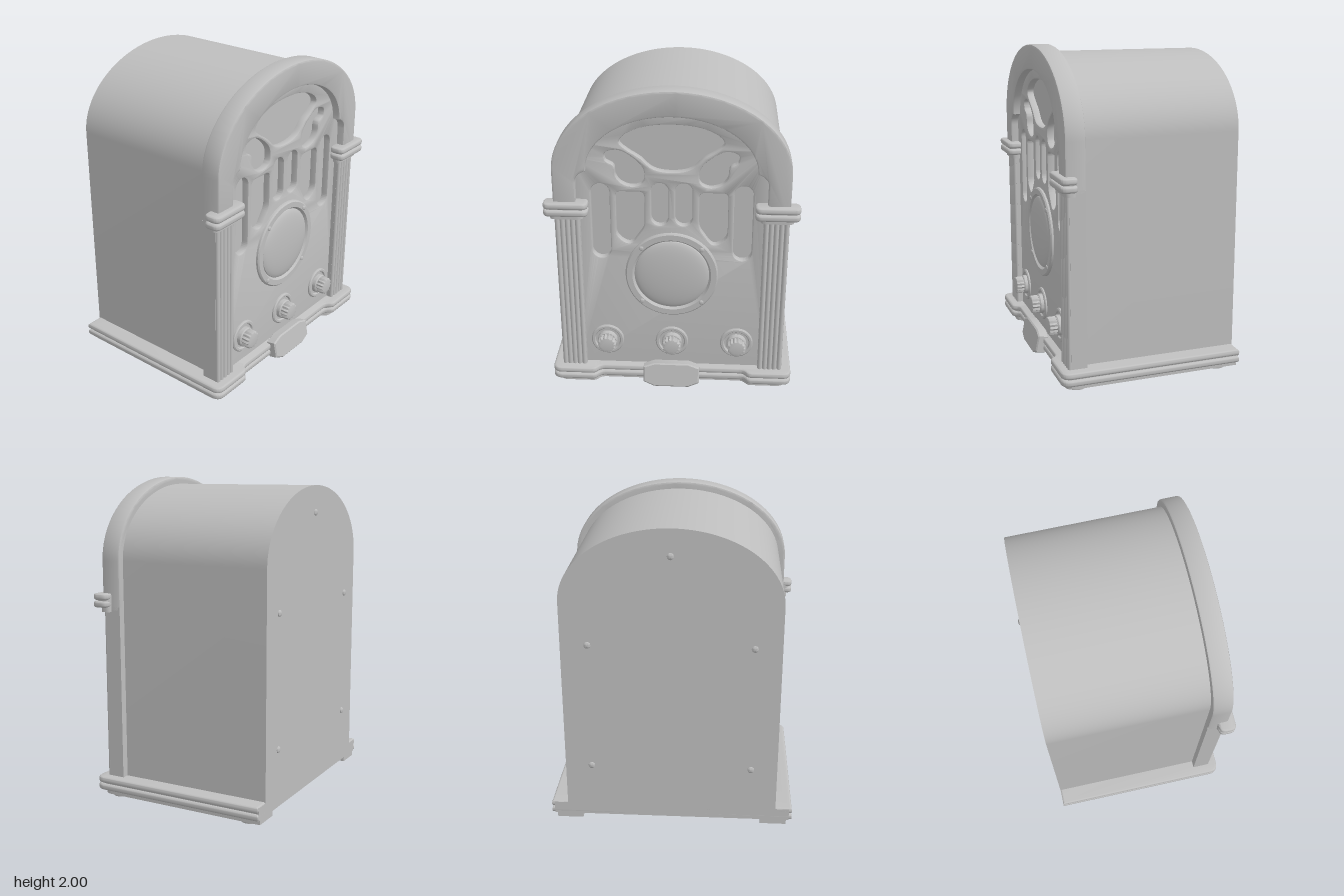
import * as THREE from 'three';
import { toCreasedNormals } from 'three/addons/utils/BufferGeometryUtils.js';

const V2 = (x, y) => new THREE.Vector2(x, y);

// Extrude a shape from z0 to z1, bevels kept inside the outline
function extrude(shape, z0, z1, b = 0, steps = 2) {
  const g = new THREE.ExtrudeGeometry(shape, {
    depth: z1 - z0 - 2 * b, bevelEnabled: b > 0, bevelThickness: b, bevelSize: b,
    bevelOffset: -b, bevelSegments: steps, curveSegments: 32,
  });
  g.translate(0, 0, z0 + b);
  return toCreasedNormals(g, 0.6);
}

// Lathe with its axis turned to the face direction
function turned(points, segments = 56) {
  const g = new THREE.LatheGeometry(points.map(p => V2(...p)), segments);
  g.rotateX(Math.PI / 2);
  return toCreasedNormals(g, 0.5);
}

function arch(w, y0, spring, top) {
  const s = new THREE.Shape();
  s.moveTo(-w, y0).lineTo(w, y0).lineTo(w, spring);
  s.absellipse(0, spring, w, top - spring, 0, Math.PI, false);
  return s.closePath();
}

function capsule(x0, x1, y0, y1) {
  const r = (x1 - x0) / 2, c = (x0 + x1) / 2, p = new THREE.Path();
  p.absarc(c, y1 - r, r, 0, Math.PI, false);
  p.absarc(c, y0 + r, r, Math.PI, 2 * Math.PI, false);
  return p;
}

function blob(pts, side = 1) {
  const c = new THREE.CatmullRomCurve3(pts.map(([x, y]) => new THREE.Vector3(x * side, y, 0)), true);
  return new THREE.Path(c.getPoints(60).slice(0, -1).map(p => V2(p.x, p.y)));
}

// Polygon with rounded corners
function rounded(pts, r, side = 1) {
  const v = pts.map(([x, y]) => V2(x * side, y)), p = new THREE.Path();
  v.forEach((c, i) => {
    const toward = o => c.clone().add(o.clone().sub(c).setLength(Math.min(r, o.distanceTo(c) * 0.45)));
    const a = toward(v[(i + v.length - 1) % v.length]), b = toward(v[(i + 1) % v.length]);
    if (i === 0) p.moveTo(a.x, a.y); else p.lineTo(a.x, a.y);
    p.quadraticCurveTo(c.x, c.y, b.x, b.y);
  });
  return p.closePath();
}

// Plan outlines for the mouldings (second axis points to the back)
function basePlan(i, open = false) {
  const w = 0.77 - i, f = 0.57 - i, r = 0.525 - i, s = new THREE.Shape();
  s.moveTo(-w, 0.58).lineTo(-w, 0.06 - f);
  s.quadraticCurveTo(-w, -f, 0.06 - w, -f).lineTo(-0.52, -f);
  s.bezierCurveTo(-0.47, -f, -0.49, -r, -0.43, -r).lineTo(0.43, -r);
  s.bezierCurveTo(0.49, -r, 0.47, -f, 0.52, -f).lineTo(w - 0.06, -f);
  s.quadraticCurveTo(w, -f, w, 0.06 - f).lineTo(w, 0.58);
  if (open) s.lineTo(0.57, 0.58).lineTo(0.57, -0.4).lineTo(-0.57, -0.4).lineTo(-0.57, 0.58);
  return s.closePath();
}
function capitalPlan(i, side) {
  const a = 0.5 + i, b = 0.77 - i, f = -0.565 + i, k = -0.46;
  const p = rounded([[a, f], [b, f], [b, k], [a, k]], 0.04, side);
  return new THREE.Shape(p.getPoints(8));
}

export function createModel() {
  const grey = new THREE.MeshStandardMaterial({ color: 0xbebebe });
  grey.name = 'grey';
  const model = new THREE.Group(), radio = new THREE.Group();
  model.name = 'tableRadio';
  radio.name = 'radio';
  radio.rotation.y = Math.PI / 2;
  model.add(radio);
  const add = (name, geo, x = 0, y = 0, z = 0, parent = radio) => {
    const m = new THREE.Mesh(geo, grey);
    m.name = name;
    m.position.set(x, y, z);
    parent.add(m);
    return m;
  };

  // Cabinet and backing behind the grille
  add('cabinet', extrude(arch(0.665, 0.05, 1.5, 1.955), -0.58, 0.4));
  add('grilleBacking', extrude(arch(0.69, 0.1, 1.5, 1.98), 0.4, 0.43));

  // Front panel with grille openings
  const panel = arch(0.62, 0.1, 1.5, 1.9);
  panel.holes.push(blob([[-0.31, 1.67], [-0.28, 1.715], [-0.17, 1.765], [0, 1.783], [0.17, 1.765],
    [0.28, 1.715], [0.31, 1.67], [0.26, 1.62], [0.19, 1.575], [0.11, 1.505], [0, 1.485],
    [-0.11, 1.505], [-0.19, 1.575], [-0.26, 1.62]]));
  for (const s of [-1, 1]) {
    panel.holes.push(blob([[0.395, 1.6], [0.32, 1.62], [0.22, 1.565], [0.168, 1.5], [0.17, 1.42],
      [0.225, 1.39], [0.3, 1.41], [0.335, 1.455], [0.345, 1.52], [0.395, 1.555]], s));
    panel.holes.push(rounded([[0.34, 1.355], [0.165, 1.355], [0.165, 1.12], [0.24, 1.01],
      [0.285, 1.01], [0.34, 1.06]], 0.035, s));
    const slot = (a, b, y0, y1) => panel.holes.push(capsule(Math.min(a * s, b * s), Math.max(a * s, b * s), y0, y1));
    slot(0.375, 0.49, 0.905, 1.405);
    slot(0.02, 0.125, 1.135, 1.415);
  }
  add('frontPanel', extrude(panel, 0.42, 0.475, 0.01));

  // Arched surround with shouldered inner edge
  const f = new THREE.Shape();
  f.moveTo(0.71, 1.2).lineTo(0.71, 1.5);
  f.absellipse(0, 1.5, 0.71, 0.5, 0, Math.PI, false);
  f.lineTo(-0.71, 1.2).lineTo(-0.575, 1.2).lineTo(-0.575, 1.42);
  f.quadraticCurveTo(-0.575, 1.48, -0.51, 1.5);
  f.absellipse(0, 1.5, 0.51, 0.345, Math.PI, 0, true);
  f.quadraticCurveTo(0.575, 1.48, 0.575, 1.42).lineTo(0.575, 1.2).closePath();
  add('archSurround', extrude(f, 0.4, 0.525, 0.012));

  // Moulding: narrow foot, two rounded rings and a core between them
  const moulding = (name, y0, plan, openFoot) => {
    const g = new THREE.Group();
    g.name = name;
    radio.add(g);
    const tier = (n, shape, a, b, bevel) => {
      const geo = extrude(shape, a, b, bevel, 4);
      geo.rotateX(-Math.PI / 2);
      add(n, geo, 0, y0, 0, g);
    };
    tier('foot', openFoot || plan(0.035), 0, 0.032, 0);
    tier('core', plan(0.018), 0.03, 0.108, 0);
    tier('lowerRing', plan(0), 0.03, 0.07, 0.014);
    tier('upperRing', plan(0), 0.076, 0.115, 0.014);
  };
  moulding('baseMoulding', 0.02, i => basePlan(i), basePlan(0.035, true));

  // Reeded columns with capitals, feet
  for (const s of [-1, 1]) {
    add('column', new THREE.BoxGeometry(0.155, 1.1, 0.1), s * 0.6325, 0.67, 0.45);
    for (let i = 0; i < 5; i++)
      add('columnReed', new THREE.CylinderGeometry(0.015, 0.015, 1.1, 16), s * (0.57 + i * 0.031), 0.67, 0.503);
    moulding('capital', 1.188, i => capitalPlan(i, s));
    for (const z of [-0.475, 0.45])
      add('foot', new THREE.CylinderGeometry(0.063, 0.058, 0.03, 32), s * 0.65, 0.015, z);
  }

  // Speaker: ring, dome, screws
  add('speakerRing', turned([[0.29, -0.01], [0.288, 0.012], [0.28, 0.02], [0.245, 0.02], [0.233, 0.004], [0, 0.004]]), 0, 0.8, 0.475);
  const dome = [];
  for (let i = 0; i <= 10; i++) {
    const t = i / 10 * Math.PI / 2;
    dome.push([0.232 * Math.cos(t), 0.035 * Math.sin(t)]);
  }
  dome[10][0] = 0;
  add('speakerDome', turned(dome), 0, 0.8, 0.479);
  const screw = turned([[0.016, -0.004], [0.014, 0.004], [0.008, 0.008], [0, 0.009]], 16);
  for (const a of [-1, 1]) for (const b of [-1, 1]) add('speakerScrew', screw, a * 0.186, 0.8 + b * 0.186, 0.495);

  // Control knobs with fluted grips
  const grip = new THREE.Shape();
  for (let i = 0; i < 56; i++) {
    const t = i / 56 * Math.PI * 2, r = 0.054 + 0.004 * Math.cos(t * 14);
    if (i) grip.lineTo(r * Math.cos(t), r * Math.sin(t)); else grip.moveTo(r, 0);
  }
  const gripGeo = extrude(grip.closePath(), 0.02, 0.085, 0.008);
  const plate = turned([[0.105, -0.01], [0.105, 0.008], [0.098, 0.014], [0.085, 0.014], [0.078, 0.005], [0, 0.005]]);
  const skirt = turned([[0.064, 0], [0.064, 0.028], [0.058, 0.034], [0, 0.034]]);
  for (const x of [-0.415, 0, 0.415]) {
    add('knobPlate', plate, x, 0.31, 0.475);
    add('knobSkirt', skirt, x, 0.31, 0.475);
    add('knobGrip', gripGeo, x, 0.31, 0.475);
  }

  // Tilted blank plaque on the base
  const plaque = new THREE.Shape([[-0.18, -0.05], [-0.11, -0.08], [0.11, -0.08], [0.18, -0.05],
    [0.18, 0.055], [0.11, 0.08], [-0.11, 0.08], [-0.18, 0.055]].map(p => V2(...p)));
  add('plaque', extrude(plaque, -0.07, 0, 0.008, 1), 0, 0.1, 0.568).rotation.x = -0.2;

  // Back panel screws and underside screws
  const backScrew = turned([[0.022, -0.004], [0.02, 0.005], [0.012, 0.01], [0, 0.012]], 20);
  for (const [x, y] of [[0, 1.79], [-0.5, 1.23], [0.5, 1.23], [-0.5, 0.41], [0.5, 0.41]])
    add('backScrew', backScrew, x, y, -0.58).rotation.y = Math.PI;
  for (const [x, z] of [[-0.1, -0.25], [0.1, -0.25], [0, -0.1]])
    add('undersideScrew', backScrew, x, 0.05, z).rotation.x = Math.PI / 2;

  return model;
}
